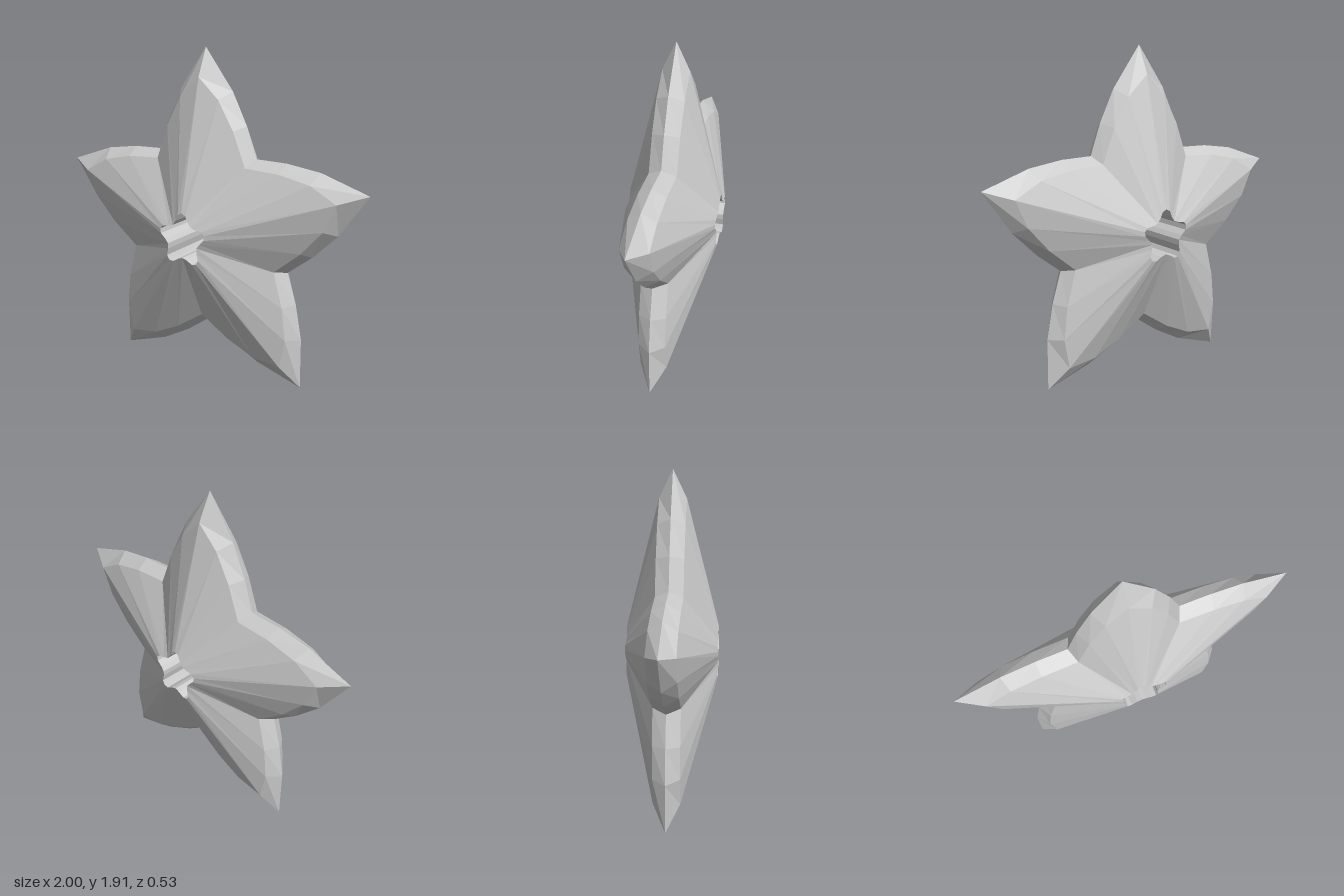
import * as THREE from 'three';

const ARMS = 5, TILT = 0.014; // slight counter-clockwise lean

// Right half of one upright arm, as [sideways, outward]: tip, two shoulders, valley
const EDGE = [[0, 1.05], [0.175, 0.812], [0.265, 0.627], [0.327, 0.45]];
const BEVEL = [[0, 0.89], [0.128, 0.77], [0.222, 0.605], [0.297, 0.409]];
const HOLE = [[0, 0.157], [0.025, 0.145], [0.042, 0.108], [0.06, 0.083]];

// Mirror the half arm and repeat it around the centre, counter-clockwise
function starRing([tip, p1, p2, valley], z) {
  const flip = ([x, y]) => [-x, y];
  const arm = [p2, p1, tip, flip(p1), flip(p2), flip(valley)];
  const ring = [];
  for (let k = 0; k < ARMS; k++) {
    const a = TILT + (k * 2 * Math.PI) / ARMS;
    for (const [x, y] of arm) {
      ring.push([x * Math.cos(a) - y * Math.sin(a), x * Math.sin(a) + y * Math.cos(a), z]);
    }
  }
  return ring;
}

// Join consecutive rings with quads, closing back to the first ring
function skin(rings) {
  const positions = [];
  rings.forEach((a, r) => {
    const b = rings[(r + 1) % rings.length];
    a.forEach((p, i) => {
      const j = (i + 1) % a.length;
      positions.push(...p, ...a[j], ...b[j], ...p, ...b[j], ...b[i]);
    });
  });
  const geometry = new THREE.BufferGeometry();
  geometry.setAttribute('position', new THREE.Float32BufferAttribute(positions, 3));
  geometry.computeVertexNormals();
  return geometry;
}

export function createModel() {
  const group = new THREE.Group();
  group.name = 'star';

  // Hole rim, bevel and sharp outline, from back to front; the last span is the hole wall
  const geometry = skin([
    starRing(HOLE, -0.265),
    starRing(BEVEL, -0.077),
    starRing(EDGE, 0),
    starRing(BEVEL, 0.077),
    starRing(HOLE, 0.265),
  ]);
  const body = new THREE.Mesh(
    geometry,
    new THREE.MeshStandardMaterial({ color: 0xcccccc, flatShading: true })
  );
  body.name = 'starBody';
  body.position.set(0.003, 0.86, 0);
  group.add(body);
  return group;
}
